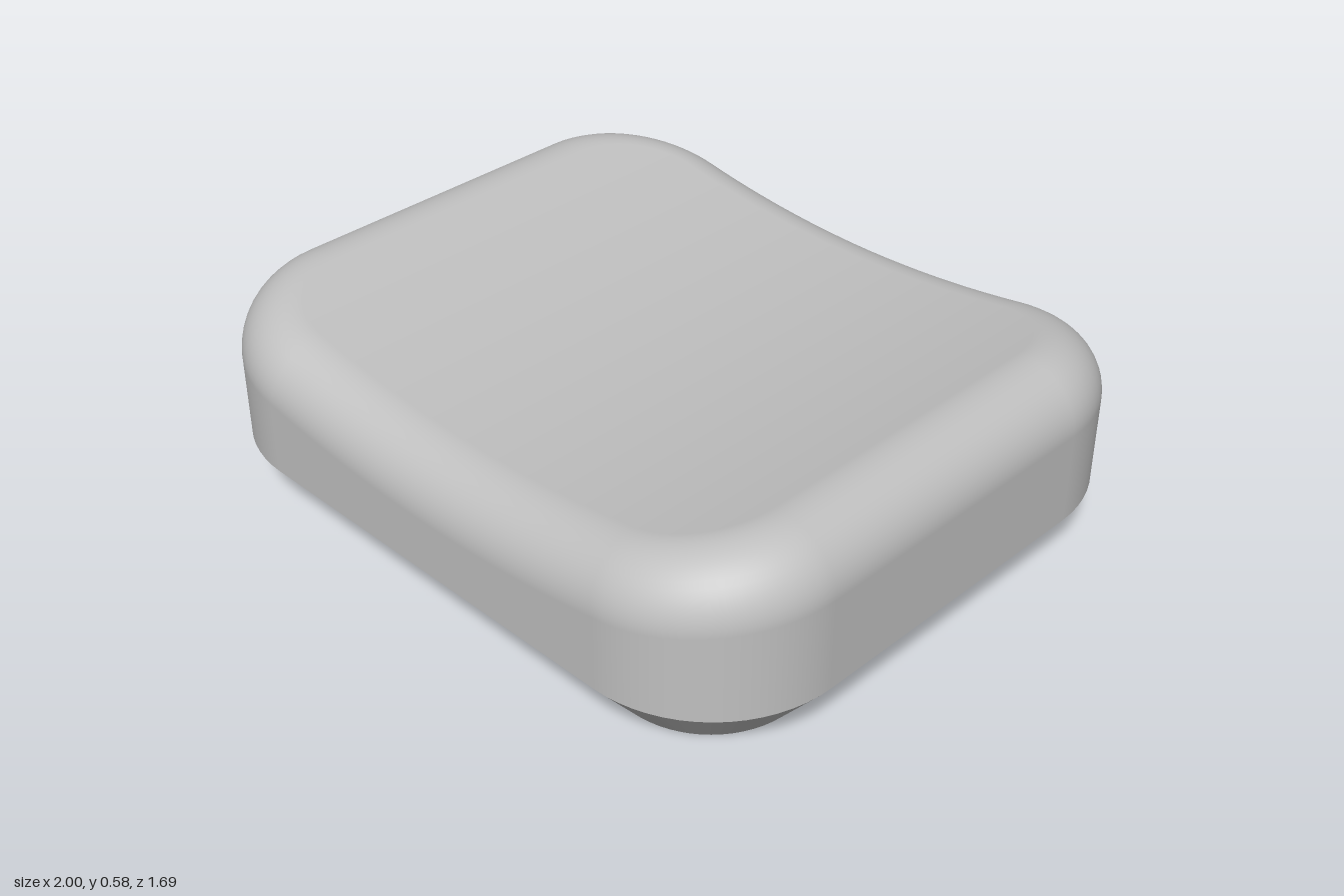
import * as THREE from 'three';

const CORE_X = 0.61, CORE_Z = 0.455, CORNER = 0.39; // rounded-rectangle plan
const WALL_BOTTOM = 0.155, INSET = 0.125;           // chamfered underside
const FILLET = 0.16, DISH_R = 3.32, DISH_LOW = 0.475; // dished top
const HOLE_R = 0.445, HOLE_DEPTH = 0.23;

// Plan outline as core points plus outward directions, so it can be offset exactly
function makeOutline(arcSteps = 16, edgeSteps = 20) {
  const signs = [[1, 1], [-1, 1], [-1, -1], [1, -1]], out = [];
  signs.forEach(([sx, sz], k) => {
    const [ex, ez] = signs[(k + 1) % 4];
    const add = (t, a) => out.push({
      x: CORE_X * (sx + (ex - sx) * t), z: CORE_Z * (sz + (ez - sz) * t),
      n: new THREE.Vector3(Math.cos(a), 0, Math.sin(a)),
    });
    for (let i = 0; i <= arcSteps; i++) add(0, (k + i / arcSteps) * Math.PI / 2);
    for (let j = 1; j < edgeSteps; j++) add(j / edgeSteps, (k + 1) * Math.PI / 2);
  });
  return out;
}

const offset = (o, r, y) => new THREE.Vector3(o.x, y, o.z).addScaledVector(o.n, r);

// Height and normal of the dish, a shallow cylinder with its axis along z
const dishCentre = DISH_LOW + DISH_R;
const dishY = (x, r = DISH_R) => dishCentre - Math.sqrt(r * r - x * x);
const dishNormal = (x, y) => new THREE.Vector3(-x, dishCentre - y, 0).normalize();

// Skin closed rings of { p, n }, listed from the bottom up
function loft(rings) {
  const pos = [], nor = [], idx = [], count = rings[0].length;
  rings.forEach((ring, r) => ring.forEach(({ p, n }, i) => {
    pos.push(p.x, p.y, p.z);
    nor.push(n.x, n.y, n.z);
    if (r === 0) return;
    const j = (i + 1) % count, a = (r - 1) * count, b = r * count;
    idx.push(a + i, b + i, a + j, a + j, b + i, b + j);
  }));
  const g = new THREE.BufferGeometry();
  g.setAttribute('position', new THREE.Float32BufferAttribute(pos, 3));
  g.setAttribute('normal', new THREE.Float32BufferAttribute(nor, 3));
  g.setIndex(idx);
  return g;
}

export function createModel() {
  const group = new THREE.Group();
  const grey = new THREE.MeshStandardMaterial({ color: 0xc0c0c0 });
  grey.name = 'light grey';
  const add = (name, geometry) => {
    const mesh = new THREE.Mesh(geometry, grey);
    mesh.name = name;
    group.add(mesh);
    return mesh;
  };
  const outline = makeOutline();

  // Side wall and rolling-ball fillet up to the dish
  const wall = [outline.map(o => ({ p: offset(o, CORNER, WALL_BOTTOM), n: o.n }))];
  const steps = 14;
  for (let s = 0; s <= steps; s++) {
    wall.push(outline.map(o => {
      const c = offset(o, CORNER - FILLET, 0);
      c.y = dishY(c.x, DISH_R + FILLET);
      const top = dishNormal(c.x, c.y);
      const angle = o.n.angleTo(top), t = s / steps;
      const n = o.n.clone().multiplyScalar(Math.sin((1 - t) * angle))
        .addScaledVector(top, Math.sin(t * angle)).normalize();
      return { p: c.addScaledVector(n, FILLET), n };
    }));
  }
  add('bodyWall', loft(wall));

  // Dished top, filled by shrinking the rim of the fillet to the centre
  const rim = wall[wall.length - 1], top = [];
  for (let s = 0; s <= 16; s++) {
    const k = 1 - s / 16;
    top.push(rim.map(({ p }) => {
      const x = p.x * k, y = dishY(x);
      return { p: new THREE.Vector3(x, y, p.z * k), n: dishNormal(x, y) };
    }));
  }
  add('dishedTop', loft(top));

  // Chamfer narrowing to the underside
  add('chamfer', loft([[CORNER - INSET, 0], [CORNER, WALL_BOTTOM]].map(([r, y]) =>
    outline.map(o => ({
      p: offset(o, r, y),
      n: o.n.clone().multiplyScalar(WALL_BOTTOM).setY(-INSET).normalize(),
    })))));

  // Flat underside with a round opening
  const shape = new THREE.Shape(outline.map(o => {
    const p = offset(o, CORNER - INSET, 0);
    return new THREE.Vector2(p.x, p.z);
  }));
  shape.holes.push(new THREE.Path().absarc(0, 0, HOLE_R, 0, Math.PI * 2, true));
  add('underside', new THREE.ShapeGeometry(shape, 32).rotateX(Math.PI / 2));

  // Blind round recess
  add('recessWall', new THREE.LatheGeometry(
    [new THREE.Vector2(HOLE_R, HOLE_DEPTH), new THREE.Vector2(HOLE_R, 0)], 64));
  add('recessCeiling', new THREE.CircleGeometry(HOLE_R, 64).rotateX(Math.PI / 2))
    .position.y = HOLE_DEPTH;

  return group;
}
